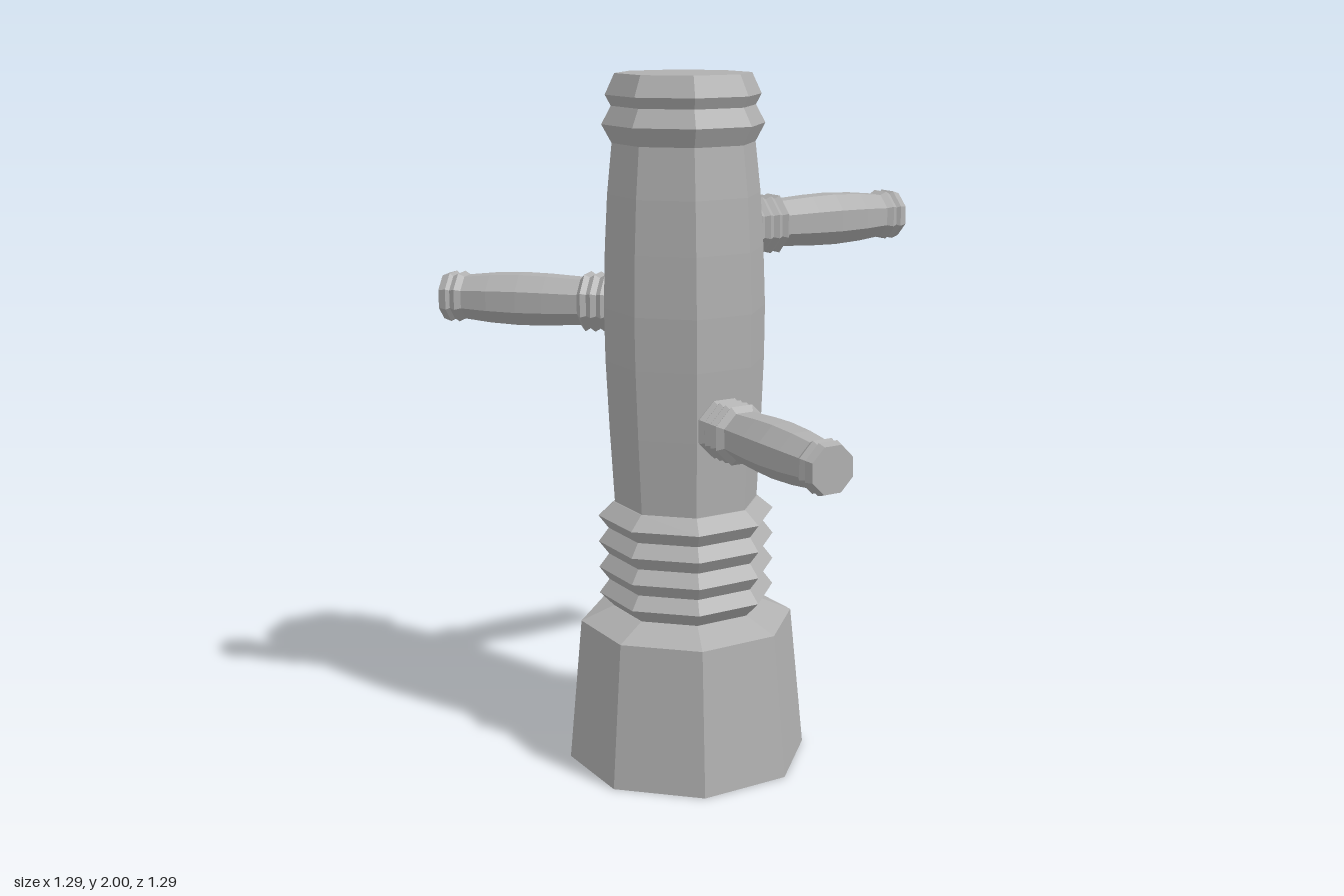
import * as THREE from 'three';

const SIDES = 8;
const CENTRE = -0.09; // the post stands off-centre because of its arms

// Eight-sided turned solid; profile is [flat-to-centre distance, height], bottom to top
function turned(profile) {
  const k = 1 / Math.cos(Math.PI / SIDES);
  const pts = profile.map(([r, y]) => new THREE.Vector2(r * k, y));
  const geo = new THREE.LatheGeometry(pts, SIDES, Math.PI / SIDES).toNonIndexed();
  geo.computeVertexNormals(); // faceted normals
  return geo;
}

export function createModel() {
  const model = new THREE.Group();
  model.name = 'trainingPost';
  const grey = new THREE.MeshStandardMaterial({ color: 0xb0b0b0 });
  grey.name = 'grey';

  const add = (parent, name, profile) => {
    const mesh = new THREE.Mesh(turned(profile), grey);
    mesh.name = name;
    parent.add(mesh);
    return mesh;
  };

  // Upright post
  const post = new THREE.Group();
  post.name = 'post';
  post.position.set(CENTRE, 0, CENTRE);
  model.add(post);

  add(post, 'base', [[0, 0], [0.325, 0], [0.288, 0.425], [0.2, 0.467], [0, 0.467]]);

  const rings = [[0, 0.467], [0.198, 0.467]];
  for (let i = 0; i < 4; i++) {
    const y = 0.51 + i * 0.078;
    rings.push([0.237, y], [i < 3 ? 0.21 : 0.195, y + 0.039]);
  }
  rings.push([0, 0.785]);
  add(post, 'ringCollar', rings);

  add(post, 'body', [
    [0, 0.78], [0.192, 0.78], [0.203, 1.0], [0.211, 1.2], [0.213, 1.35],
    [0.208, 1.52], [0.2, 1.67], [0.186, 1.815], [0, 1.815],
  ]);
  add(post, 'head', [
    [0, 1.81], [0.186, 1.81], [0.212, 1.862], [0.187, 1.912],
    [0.202, 1.942], [0.177, 2.0], [0, 2.0],
  ]);

  // Arm profiles, with height measured outward from the post axis
  const collar = [[0, 0.18], [0.07, 0.18]];
  for (let i = 0; i < 4; i++) {
    const y = 0.212 + i * 0.03;
    collar.push([0.082, y], [i < 3 ? 0.073 : 0.065, y + 0.015]);
  }
  collar.push([0, 0.317]);
  const shaft = [
    [0, 0.31], [0.065, 0.31], [0.071, 0.42], [0.073, 0.5],
    [0.069, 0.59], [0.061, 0.67], [0, 0.67],
  ];
  const tip = [
    [0, 0.668], [0.061, 0.668], [0.07, 0.686], [0.062, 0.702],
    [0.07, 0.712], [0.063, 0.735], [0, 0.735],
  ];

  // Three arms: name, height, heading around y (0 = front), outward and sideways shift
  const arms = [
    ['frontArm', 1.037, 0, 0, 0],
    ['leftArm', 1.565, Math.PI / 2, 0, 0.008],
    ['backRightArm', 1.353, -Math.PI * 0.75, -0.016, 0],
  ];
  for (const [name, y, heading, out, side] of arms) {
    const arm = new THREE.Group();
    arm.name = name;
    arm.position.set(CENTRE, y, CENTRE);
    arm.rotation.y = heading;
    model.add(arm);
    for (const [part, profile] of [['Collar', collar], ['Shaft', shaft], ['Tip', tip]]) {
      const mesh = add(arm, name + part, profile);
      mesh.rotation.x = Math.PI / 2;
      mesh.position.set(side, 0, out);
    }
  }
  return model;
}
